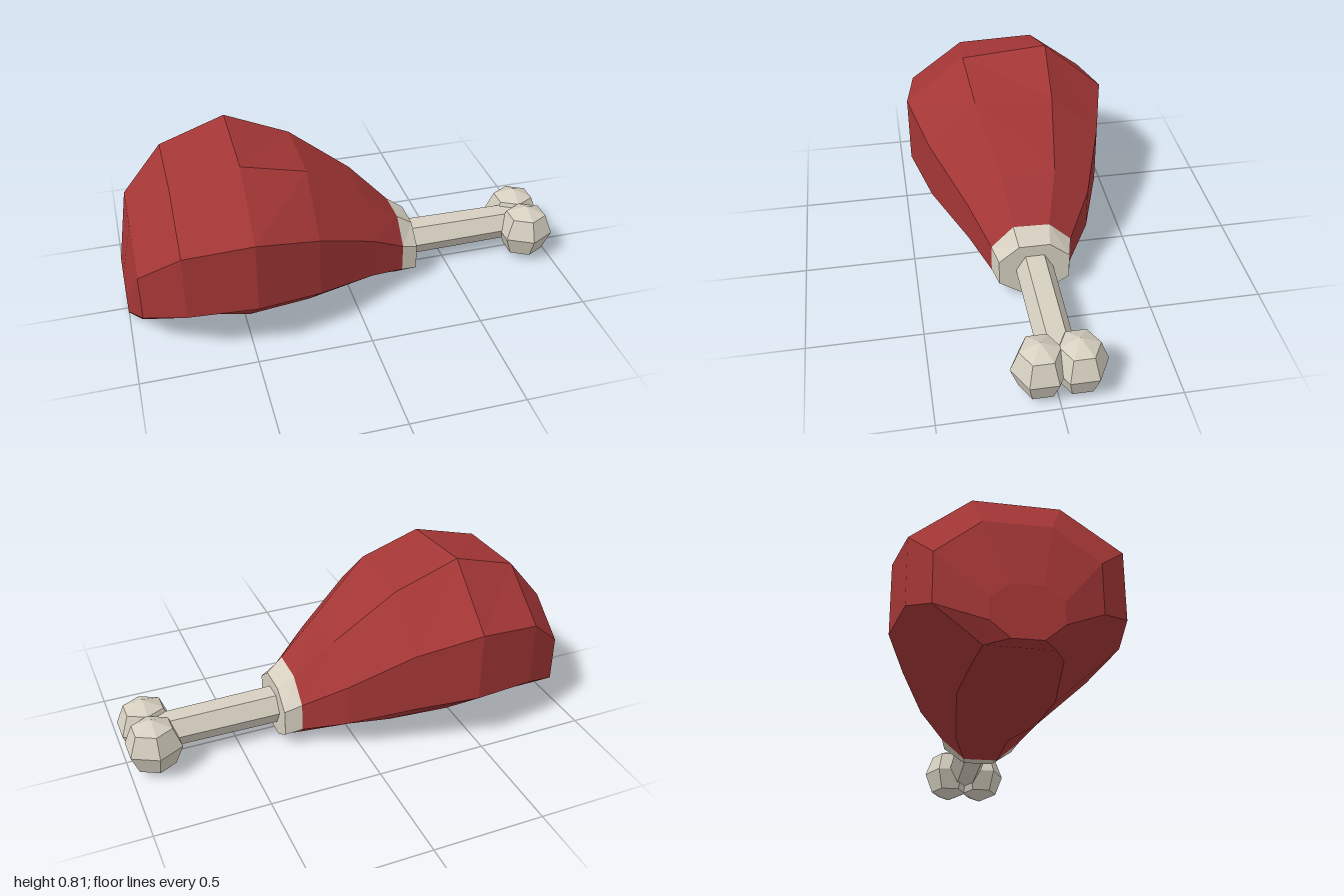
import * as THREE from 'three';

// Each ring: x, middle z, half widths (side, top, bottom),
// heights (top front, top back, upper side, lower side, bottom front, bottom back)
const MEAT = [
  [-1.00, -0.01, 0.135, 0.06, 0.06, 0.23, 0.23, 0.17, 0.08, 0.015, 0.015],
  [-0.945, -0.03, 0.31, 0.13, 0.13, 0.51, 0.515, 0.37, 0.16, 0.005, 0.01],
  [-0.77, -0.005, 0.42, 0.175, 0.17, 0.71, 0.72, 0.53, 0.235, 0.05, 0.02],
  [-0.48, -0.005, 0.467, 0.195, 0.195, 0.78, 0.812, 0.573, 0.255, 0.005, 0.02],
  [-0.20, -0.005, 0.393, 0.175, 0.165, 0.70, 0.697, 0.495, 0.22, 0.01, 0.015],
  [0.07, -0.025, 0.275, 0.12, 0.115, 0.48, 0.49, 0.345, 0.155, 0.04, 0.035],
  [0.24, -0.01, 0.178, 0.08, 0.075, 0.325, 0.32, 0.225, 0.095, 0.005, 0.005],
];
const COLLAR = [
  MEAT[MEAT.length - 1],
  [0.315, -0.012, 0.157, 0.068, 0.065, 0.268, 0.268, 0.195, 0.075, 0.012, 0.012],
];

// Eight corners of a ring, counter-clockwise seen from +x
function corners([x, c, side, top, bot, tf, tb, up, low, bf, bb]) {
  return [
    [x, tf, c + top], [x, up, c + side], [x, low, c + side], [x, bf, c + bot],
    [x, bb, c - bot], [x, low, c - side], [x, up, c - side], [x, tb, c - top],
  ];
}

// Skin consecutive rings and close both ends
function loft(rings) {
  const n = 8;
  const last = (rings.length - 1) * n;
  const positions = rings.flatMap(corners).flat();
  const index = [];
  for (let r = 0; r < rings.length - 1; r++) {
    for (let j = 0; j < n; j++) {
      const a = r * n + j, b = r * n + (j + 1) % n;
      index.push(a, b, a + n, b, b + n, a + n);
    }
  }
  for (let j = 1; j < n - 1; j++) {
    index.push(0, j + 1, j);
    index.push(last, last + j, last + j + 1);
  }
  const geometry = new THREE.BufferGeometry();
  geometry.setAttribute('position', new THREE.Float32BufferAttribute(positions, 3));
  geometry.setIndex(index);
  const flat = geometry.toNonIndexed();
  flat.computeVertexNormals();
  return flat;
}

export function createModel() {
  const group = new THREE.Group();
  const meatRed = new THREE.MeshStandardMaterial({ color: 0xa43636, flatShading: true });
  meatRed.name = 'meatRed';
  const boneIvory = new THREE.MeshStandardMaterial({ color: 0xd6cfc0, flatShading: true });
  boneIvory.name = 'boneIvory';

  function add(name, geometry, material) {
    const mesh = new THREE.Mesh(geometry, material);
    mesh.name = name;
    group.add(mesh);
    return mesh;
  }

  // Meat and the pale collar at its narrow end
  add('meat', loft(MEAT), meatRed);
  add('collar', loft(COLLAR), boneIvory);

  // Hexagonal shaft, slightly thinner towards the knobs
  const shaft = new THREE.CylinderGeometry(0.078, 0.084, 0.6, 6);
  shaft.rotateZ(-Math.PI / 2);
  add('boneShaft', shaft, boneIvory).position.set(0.58, 0.14, -0.014);

  // Two six-sided knobs at the bone's end
  for (const [name, z] of [['frontKnob', 0.07], ['backKnob', -0.09]]) {
    const knob = new THREE.SphereGeometry(1, 6, 4);
    knob.rotateY(Math.PI / 6);
    knob.scale(0.131, 0.132, 0.12);
    add(name, knob, boneIvory).position.set(0.886, 0.134, z);
  }
  return group;
}
